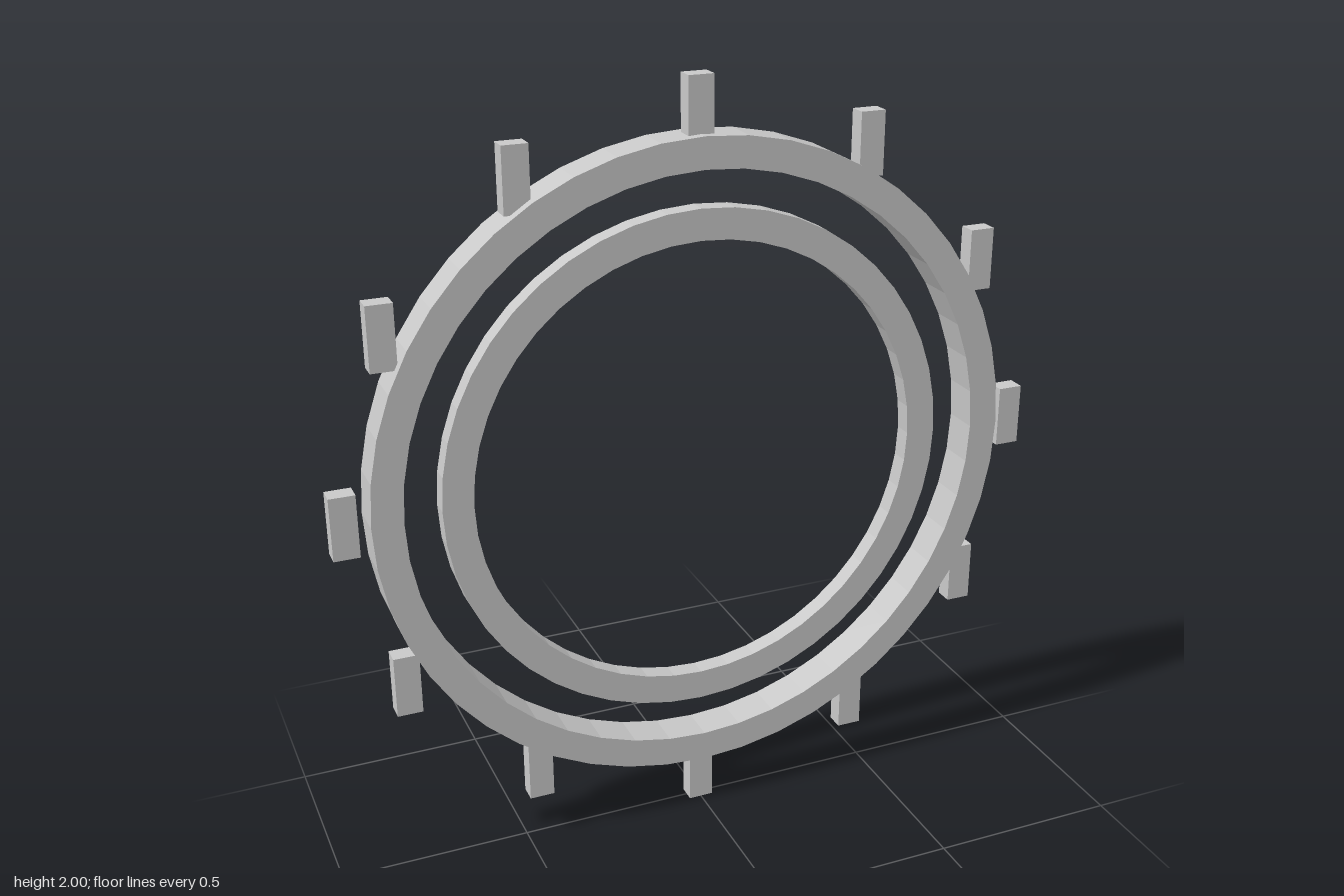
import * as THREE from 'three';

export function createModel() {
  const group = new THREE.Group();
  const grey = new THREE.MeshStandardMaterial({ color: 0xc8c8c8, flatShading: true });
  grey.name = 'lightGrey';

  // Square-section ring standing upright, spun from a closed profile
  function addRing(name, inner, outer, depth) {
    const h = depth / 2;
    const profile = [[inner, -h], [outer, -h], [outer, h], [inner, h], [inner, -h]]
      .map(([r, y]) => new THREE.Vector2(r, y));
    const geometry = new THREE.LatheGeometry(profile, 48).toNonIndexed();
    geometry.computeVertexNormals();
    geometry.rotateX(Math.PI / 2);
    const ring = new THREE.Mesh(geometry, grey);
    ring.name = name;
    ring.position.y = 1;
    group.add(ring);
  }
  addRing('outerRing', 0.78, 0.86, 0.1);
  addRing('innerRing', 0.6, 0.68, 0.05);

  // Twelve upright blocks around the rim, all kept vertical
  const blocks = new THREE.Group();
  blocks.name = 'rimBlocks';
  const blockGeometry = new THREE.BoxGeometry(0.066, 0.164, 0.048);
  for (let i = 0; i < 12; i++) {
    const angle = (i * Math.PI) / 6;
    const block = new THREE.Mesh(blockGeometry, grey);
    block.name = `rimBlock${i + 1}`;
    block.position.set(0.918 * Math.sin(angle), 1 + 0.918 * Math.cos(angle), 0);
    blocks.add(block);
  }
  group.add(blocks);

  return group;
}
